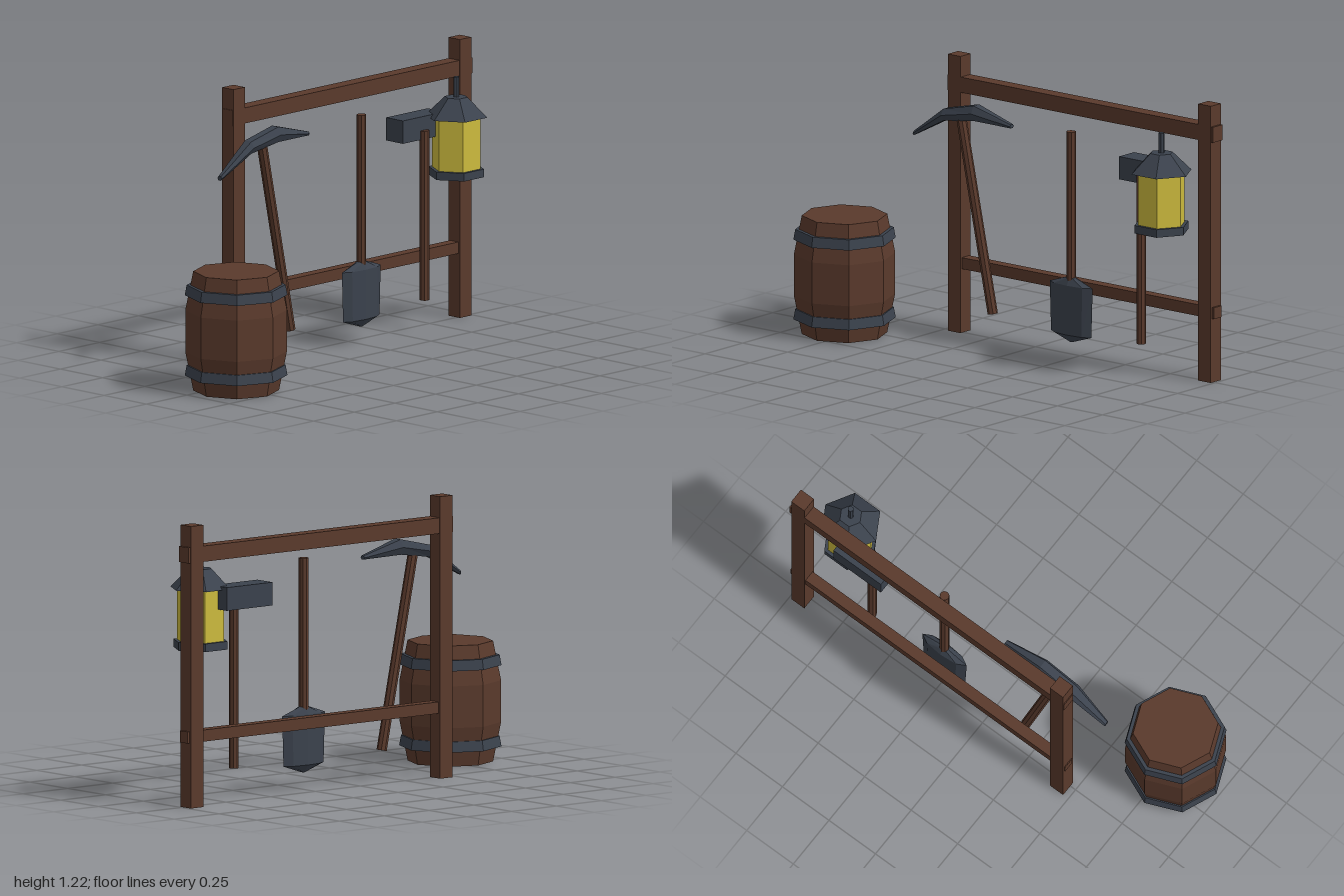
import * as THREE from 'three';

const material = (name, color) => {
  const m = new THREE.MeshStandardMaterial({ color, flatShading: true });
  m.name = name;
  return m;
};

// Skin closed rings of points; rings must turn anticlockwise about the direction of travel
function loft(rings) {
  const n = rings[0].length, pos = rings.flat(2), idx = [];
  for (let i = 0; i < rings.length - 1; i++) {
    for (let j = 0; j < n; j++) {
      const a = i * n + j, b = i * n + (j + 1) % n;
      idx.push(a, b, b + n, a, b + n, a + n);
    }
  }
  const last = (rings.length - 1) * n;
  for (let j = 1; j < n - 1; j++) {
    idx.push(0, j + 1, j);
    idx.push(last, last + j, last + j + 1);
  }
  const g = new THREE.BufferGeometry();
  g.setAttribute('position', new THREE.Float32BufferAttribute(pos, 3));
  g.setIndex(idx);
  g.computeVertexNormals();
  return g;
}

export function createModel() {
  const wood = material('brown wood', 0x5a3a2c);
  const metal = material('dark metal', 0x3b424d);
  const glass = material('yellow glass', 0xcdbb3e);
  const model = new THREE.Group();
  model.name = 'toolRack';

  const group = (name, x = 0, y = 0, z = 0) => {
    const g = new THREE.Group();
    g.name = name;
    g.position.set(x, y, z);
    model.add(g);
    return g;
  };
  const add = (parent, name, geometry, mat, x = 0, y = 0, z = 0) => {
    const m = new THREE.Mesh(geometry, mat);
    m.name = name;
    m.position.set(x, y, z);
    parent.add(m);
    return m;
  };
  const box = (w, h, d) => new THREE.BoxGeometry(w, h, d);
  const prism = (top, bottom, y0, y1, sides) =>
    new THREE.CylinderGeometry(top, bottom, y1 - y0, sides).translate(0, (y0 + y1) / 2, 0);

  // Rack: two posts and two rails
  const rack = group('rack', 0, 0, -0.267);
  for (const x of [-0.437, 0.954]) add(rack, 'post', box(0.07, 1.215, 0.068), wood, x, 0.6075);
  add(rack, 'topRail', box(1.476, 0.068, 0.064), wood, 0.262, 1.09);
  add(rack, 'bottomRail', box(1.476, 0.05, 0.05), wood, 0.262, 0.305);

  // Barrel with two flared hoops
  const barrel = group('barrel', -0.783, 0, 0.082);
  const profile = [[0, 0], [0.183, 0], [0.217, 0.17], [0.217, 0.35], [0.183, 0.52], [0, 0.52]];
  add(barrel, 'staves', new THREE.LatheGeometry(profile.map(p => new THREE.Vector2(...p)), 8), wood);
  for (const y of [0.065, 0.415]) add(barrel, 'hoop', prism(0.211, 0.219, y, y + 0.045, 8), metal);

  // Pickaxe leaning on the left post
  const pickaxe = group('pickaxe', 0, 0, -0.18);
  const from = new THREE.Vector3(-0.178, 0.13, 0), to = new THREE.Vector3(-0.356, 0.98, 0);
  const shaft = add(pickaxe, 'pickaxeHandle', prism(0.022, 0.022, 0, from.distanceTo(to), 8), wood);
  shaft.position.copy(from);
  shaft.quaternion.setFromUnitVectors(new THREE.Vector3(0, 1, 0), to.clone().sub(from).normalize());
  const stations = [ // x, y, half height, half width
    [-0.612, 0.857, 0.009, 0.013], [-0.437, 0.967, 0.026, 0.035],
    [-0.27, 0.999, 0.033, 0.035], [-0.072, 0.97, 0.008, 0.013]];
  const hexagon = [[1, -0.55], [1, 0.55], [0, 1], [-1, 0.55], [-1, -0.55], [0, -1]];
  add(pickaxe, 'pickaxeHead', loft(stations.map(([x, y, h, w]) =>
    hexagon.map(([u, v]) => [x, y + u * h, v * w]))), metal);

  // Shovel with a flattened blade
  const shovel = group('shovel', 0.258, 0, -0.18);
  add(shovel, 'shovelHandle', prism(0.021, 0.021, 0.3, 1, 8), wood);
  const lens = [[1, 0], [0.75, 0.66], [0, 1], [-0.75, 0.66], [-1, 0], [-0.75, -0.66], [0, -1], [0.75, -0.66]];
  const levels = [[0.075, 0.005, 0.003], [0.11, 0.112, 0.028], [0.327, 0.119, 0.029], [0.36, 0.022, 0.015]];
  add(shovel, 'shovelBlade', loft(levels.map(([y, w, d]) =>
    lens.map(([u, v]) => [v * w, y, u * d])
      .map(([x, py, z]) => [x, py, z]))), metal);

  // Hammer
  const hammer = group('hammer', 0.647, 0, -0.18);
  add(hammer, 'hammerHandle', prism(0.021, 0.021, 0.13, 0.87, 8), wood);
  add(hammer, 'hammerHead', box(0.255, 0.1, 0.1), metal, 0, 0.88, -0.055);

  // Six-sided lantern
  const lantern = group('lantern', 0.796, 0, -0.136);
  lantern.rotation.y = Math.PI / 6;
  add(lantern, 'lanternBase', prism(0.122, 0.122, 0.655, 0.69, 6), metal);
  add(lantern, 'lanternGlass', prism(0.106, 0.106, 0.69, 0.915, 6), glass);
  add(lantern, 'lanternRoof', prism(0.05, 0.136, 0.915, 1, 6), metal);
  add(lantern, 'lanternStem', prism(0.013, 0.013, 1, 1.087, 6), metal);

  return model;
}
